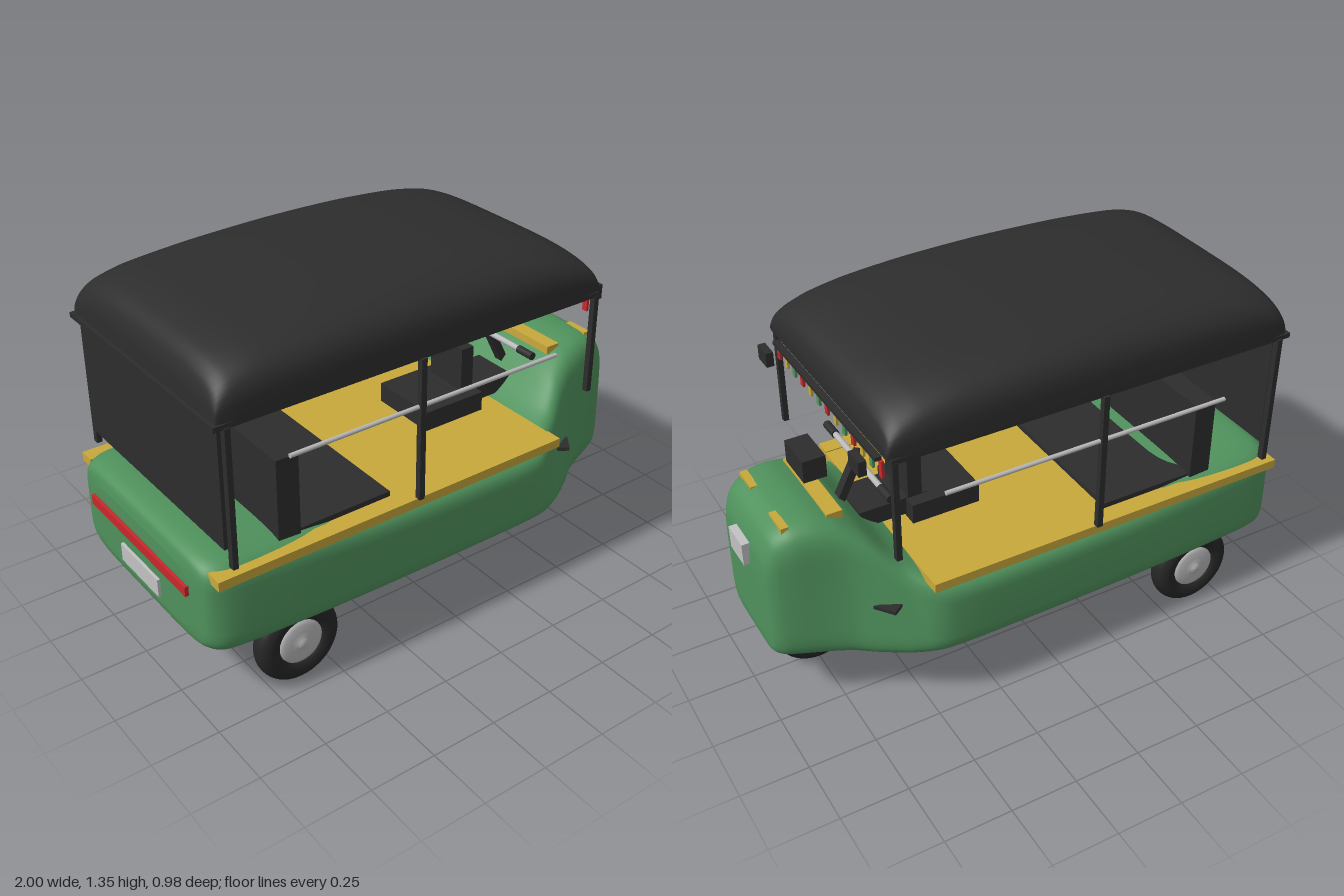
import * as THREE from 'three';

const mat = (name, color) => Object.assign(new THREE.MeshStandardMaterial({ color }), { name });

// Smooth closed loft along x. Rows: [x, lower half width, upper half width, bottom y, top y].
// mid is the height fraction where the two halves of the rounded section meet.
function loft(rows, power, mid, steps, sides) {
  const widths = new THREE.CatmullRomCurve3(rows.map(r => new THREE.Vector3(r[0], r[1], r[2])), false, 'catmullrom', 0.4);
  const heights = new THREE.CatmullRomCurve3(rows.map(r => new THREE.Vector3(r[0], r[3], r[4])), false, 'catmullrom', 0.4);
  const pos = [], idx = [];
  const bend = v => Math.sign(v) * Math.pow(Math.abs(v), 2 / power);
  for (let i = 0; i <= steps; i++) {
    const w = widths.getPoint(i / steps), h = heights.getPoint(i / steps);
    const base = h.y + (h.z - h.y) * mid;
    for (let j = 0; j < sides; j++) {
      const a = (j / sides) * Math.PI * 2;
      const s = bend(Math.sin(a)), c = bend(Math.cos(a));
      const y = base + s * (s > 0 ? h.z - base : base - h.y);
      pos.push(w.x, y, c * THREE.MathUtils.lerp(w.y, w.z, (s + 1) / 2));
    }
  }
  for (let i = 0; i < steps; i++) for (let j = 0; j < sides; j++) {
    const a = i * sides + j, b = i * sides + (j + 1) % sides;
    idx.push(a, a + sides, b, b, a + sides, b + sides);
  }
  // End caps
  const first = rows[0], last = rows[rows.length - 1], n = pos.length / 3;
  pos.push(first[0], (first[3] + first[4]) / 2, 0, last[0], (last[3] + last[4]) / 2, 0);
  for (let j = 0; j < sides; j++) {
    const k = (j + 1) % sides, e = steps * sides;
    idx.push(n, j, k, n + 1, e + k, e + j);
  }
  const g = new THREE.BufferGeometry();
  g.setAttribute('position', new THREE.Float32BufferAttribute(pos, 3));
  g.setIndex(idx);
  g.computeVertexNormals();
  return g;
}

export function createModel() {
  const model = new THREE.Group();
  model.name = 'openTaxi';
  const green = mat('bodyGreen', 0x4f915c), dark = mat('darkTrim', 0x2d2d2d);
  const yellow = mat('trimYellow', 0xc8a83c), silver = mat('silver', 0xb9b9bb);
  const red = mat('red', 0xc8282c), tyreMat = mat('tyreRubber', 0x262626);
  const plate = mat('plateGrey', 0xc2c2c2);

  const add = (name, geo, m, x = 0, y = 0, z = 0, parent = model) => {
    const mesh = new THREE.Mesh(geo, m);
    mesh.name = name;
    mesh.position.set(x, y, z);
    parent.add(mesh);
    return mesh;
  };
  // Box given by its ranges on each axis
  const box = (name, m, x0, x1, y0, y1, z0, z1) =>
    add(name, new THREE.BoxGeometry(x1 - x0, y1 - y0, z1 - z0), m, (x0 + x1) / 2, (y0 + y1) / 2, (z0 + z1) / 2);
  const rod = (name, m, r, len, axis, x, y, z) => {
    const g = new THREE.CylinderGeometry(r, r, len, 16);
    if (axis === 'x') g.rotateZ(Math.PI / 2); else g.rotateX(Math.PI / 2);
    return add(name, g, m, x, y, z);
  };

  // Tub and nose
  add('body', loft([
    [-0.982, 0.32, 0.32, 0.29, 0.54], [-0.97, 0.41, 0.41, 0.25, 0.585], [-0.93, 0.455, 0.44, 0.232, 0.605],
    [-0.85, 0.47, 0.46, 0.226, 0.608], [-0.6, 0.478, 0.475, 0.22, 0.592], [-0.3, 0.48, 0.48, 0.215, 0.565],
    [0.1, 0.48, 0.48, 0.212, 0.55], [0.42, 0.477, 0.465, 0.211, 0.548], [0.54, 0.45, 0.37, 0.211, 0.6],
    [0.64, 0.395, 0.305, 0.211, 0.7], [0.72, 0.335, 0.272, 0.212, 0.753], [0.8, 0.292, 0.255, 0.213, 0.774],
    [0.88, 0.255, 0.24, 0.216, 0.768], [0.94, 0.225, 0.215, 0.222, 0.73], [0.97, 0.19, 0.185, 0.24, 0.66],
    [0.979, 0.13, 0.13, 0.3, 0.57],
  ], 6, 0.5, 90, 72), green);

  // Canopy
  add('roof', loft([
    [-0.92, 0.46, 0.46, 1.12, 1.13], [-0.915, 0.466, 0.466, 1.12, 1.2], [-0.895, 0.47, 0.47, 1.12, 1.25],
    [-0.85, 0.475, 0.475, 1.12, 1.287], [-0.74, 0.48, 0.48, 1.12, 1.317], [-0.5, 0.486, 0.486, 1.12, 1.338],
    [-0.18, 0.488, 0.488, 1.12, 1.348], [0.12, 0.487, 0.487, 1.12, 1.342], [0.36, 0.483, 0.483, 1.12, 1.322],
    [0.5, 0.478, 0.478, 1.12, 1.293], [0.58, 0.473, 0.473, 1.12, 1.258], [0.62, 0.469, 0.469, 1.12, 1.22],
    [0.635, 0.465, 0.465, 1.12, 1.17], [0.636, 0.46, 0.46, 1.12, 1.13],
  ], 3.8, 0, 70, 64), dark);
  box('roofRim', dark, -0.932, 0.625, 1.106, 1.124, -0.475, 0.475);
  box('rearPanel', dark, -0.905, -0.885, 0.66, 1.11, -0.445, 0.445);

  // Floor
  box('floor', yellow, -0.62, 0.49, 0.535, 0.568, -0.45, 0.45);

  // Mirrored side parts
  for (const s of [-1, 1]) {
    const side = (name, m, x0, x1, y0, y1, z0, z1) => box(name, m, x0, x1, y0, y1, Math.min(s * z0, s * z1), Math.max(s * z0, s * z1));
    side('sideRail', yellow, -0.95, 0.49, 0.537, 0.572, 0.41, 0.475);
    side('rearPost', dark, -0.897, -0.877, 0.6, 1.11, 0.455, 0.48);
    side('middlePost', dark, -0.168, -0.146, 0.57, 1.11, 0.463, 0.485);
    side('frontPost', dark, 0.604, 0.624, 0.73, 1.11, 0.455, 0.477);
    side('mirror', dark, 0.68, 0.708, 1.05, 1.105, 0.335, 0.41);
    side('noseTrim', yellow, 0.872, 0.9, 0.74, 0.769, 0.08, 0.185);
    rod('handrail', silver, 0.008, 1.11, 'x', -0.115, 0.93, s * 0.47);
    // Small wedge on the flank
    const w = new THREE.Shape([new THREE.Vector2(0.55, s * 0.37), new THREE.Vector2(0.66, s * 0.345), new THREE.Vector2(0.61, s * 0.412)]);
    const wedge = new THREE.ExtrudeGeometry(w, { depth: 0.014, bevelEnabled: false }).rotateX(Math.PI / 2);
    add('sideMarker', wedge, dark, 0, 0.457, 0);
  }

  // Passenger bench
  box('benchCushion', dark, -0.62, -0.23, 0.56, 0.588, -0.4, 0.4);
  box('benchBack', dark, -0.685, -0.6, 0.57, 0.885, -0.41, 0.41);

  // Driver seat
  box('driverSeatBase', dark, 0.135, 0.4, 0.56, 0.645, -0.14, 0.14);
  box('driverSeatFront', dark, 0.31, 0.58, 0.58, 0.648, -0.09, 0.09);
  box('driverSeatBack', dark, 0.337, 0.392, 0.64, 0.82, -0.09, 0.09);

  // Steering
  const column = add('steeringColumn', new THREE.BoxGeometry(0.03, 0.21, 0.036), dark, 0.573, 0.748, 0);
  column.rotation.z = 0.47;
  rod('handlebar', silver, 0.011, 0.42, 'z', 0.535, 0.803, 0);
  for (const s of [-1, 1]) rod('handleGrip', dark, 0.015, 0.075, 'z', 0.535, 0.803, s * 0.22);
  box('meterBox', dark, 0.68, 0.765, 0.835, 0.92, -0.075, 0.075);
  box('meterFace', red, 0.673, 0.68, 0.85, 0.905, -0.055, 0.055);
  box('dashStrip', yellow, 0.68, 0.738, 0.735, 0.766, -0.185, 0.185);

  // Bunting under the front of the roof
  box('buntingBar', dark, 0.628, 0.652, 1.09, 1.104, -0.41, 0.41);
  const flags = [red, yellow, green];
  for (let i = 0; i < 13; i++) {
    const z = 0.41 - i * 0.0683;
    box('flag', flags[i % 3], 0.626, 0.635, 1.025, 1.09, z - 0.011, z + 0.011);
  }

  // Lamp and plates
  box('headlamp', plate, 0.965, 1.0, 0.568, 0.655, -0.06, 0.06);
  box('tailStrip', red, -0.995, -0.96, 0.448, 0.485, -0.33, 0.33);
  box('rearPlate', plate, -0.993, -0.97, 0.32, 0.39, -0.13, 0.13);

  // Wheels: lathed tyre with hub dome on the outer side
  const V = (x, y) => new THREE.Vector2(x, y);
  const tyre = new THREE.LatheGeometry(new THREE.SplineCurve([
    V(0.08, -0.025), V(0.095, -0.04), V(0.125, -0.045), V(0.152, -0.03), V(0.161, 0),
    V(0.152, 0.03), V(0.125, 0.045), V(0.095, 0.04), V(0.08, 0.025)]).getPoints(32), 48).rotateX(Math.PI / 2);
  const disc = new THREE.CylinderGeometry(0.085, 0.085, 0.05, 40).rotateX(Math.PI / 2);
  const hub = new THREE.LatheGeometry([V(0.086, 0), V(0.084, 0.01), V(0.07, 0.016), V(0.045, 0.02),
    V(0.022, 0.021), V(0.02, 0.028), V(0.001, 0.031)], 40).rotateX(Math.PI / 2);
  for (const [name, x, z, s] of [['rearLeftWheel', -0.635, 0.41, 1], ['rearRightWheel', -0.635, -0.41, -1], ['frontWheel', 0.75, 0, -1]]) {
    const wheel = new THREE.Group();
    wheel.name = name;
    wheel.position.set(x, 0.163, z);
    if (s < 0) wheel.rotation.y = Math.PI;
    add('tyre', tyre, tyreMat, 0, 0, 0, wheel);
    add('wheelDisc', disc, dark, 0, 0, 0, wheel);
    add('hubCap', hub, silver, 0, 0, 0.024, wheel).material.side = THREE.DoubleSide;
    model.add(wheel);
  }
  return model;
}
